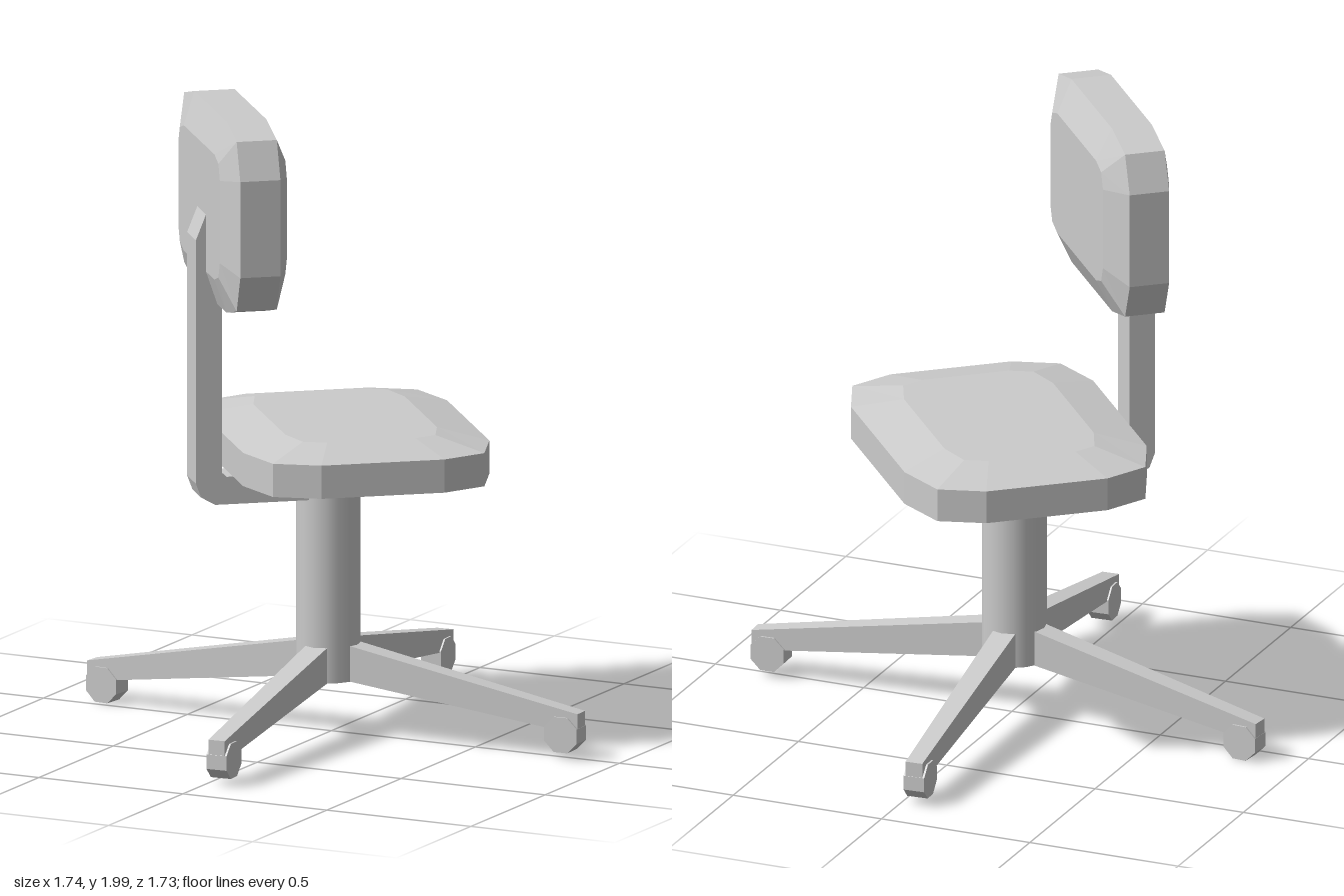
import * as THREE from 'three';

const grey = new THREE.MeshStandardMaterial({ color: 0xcccccc });
const flat = new THREE.MeshStandardMaterial({ color: 0xcccccc, flatShading: true });

function add(parent, name, geometry, material = flat) {
  const mesh = new THREE.Mesh(geometry, material);
  mesh.name = name;
  parent.add(mesh);
  return mesh;
}

// Mirrors the three points of one rounded corner into a 12-sided outline
function outline(corner) {
  const back = [...corner].reverse();
  return [
    ...corner,
    ...back.map(([x, y]) => [-x, y]),
    ...corner.map(([x, y]) => [-x, -y]),
    ...back.map(([x, y]) => [x, -y]),
  ];
}

// Closed cushion lofted along +z through rings of { corner, z }
function cushion(rings) {
  const n = 12, pos = [], idx = [];
  for (const { corner, z } of rings)
    for (const [x, y] of outline(corner)) pos.push(x, y, z);
  for (let r = 0; r < rings.length - 1; r++)
    for (let i = 0; i < n; i++) {
      const a = r * n + i, b = r * n + (i + 1) % n;
      idx.push(a, b, b + n, a, b + n, a + n);
    }
  const last = (rings.length - 1) * n;
  for (let i = 1; i < n - 1; i++) {
    idx.push(0, i + 1, i);
    idx.push(last, last + i, last + i + 1);
  }
  const g = new THREE.BufferGeometry();
  g.setAttribute('position', new THREE.Float32BufferAttribute(pos, 3));
  g.setIndex(idx);
  const out = g.toNonIndexed();
  out.computeVertexNormals();
  return out;
}

// Tapered leg running along +x, sloping down to its tip
function legGeometry(length, drop) {
  const g = new THREE.BoxGeometry(1, 1, 1);
  const p = g.attributes.position;
  for (let i = 0; i < p.count; i++) {
    const tip = p.getX(i) > 0, top = p.getY(i) > 0;
    const y = tip ? (top ? 0.155 : 0.09) - drop : (top ? 0.305 : 0.19);
    p.setXYZ(i, tip ? length : 0.05, y, p.getZ(i) * (tip ? 0.055 : 0.075));
  }
  g.computeVertexNormals();
  return g;
}

export function createModel() {
  const model = new THREE.Group();
  model.name = 'swivelChair';

  // Base: column, four legs and casters
  const base = new THREE.Group();
  base.name = 'base';
  base.position.z = 0.02;
  model.add(base);
  add(base, 'column', new THREE.CylinderGeometry(0.1, 0.1, 0.7, 16), grey).position.y = 0.535;

  const tips = [
    { x: 0.865, z: -0.025, drop: 0 },
    { x: -0.865, z: -0.085, drop: 0.02 },
    { x: 0.045, z: 0.84, drop: 0 },
    { x: -0.05, z: -0.885, drop: 0 },
  ];
  for (const { x, z, drop } of tips) {
    const arm = new THREE.Group();
    arm.name = 'legWithCaster';
    arm.rotation.y = Math.atan2(-z, x);
    base.add(arm);
    const length = Math.hypot(x, z);
    add(arm, 'leg', legGeometry(length, drop));
    const wheel = new THREE.CylinderGeometry(0.06, 0.06, 0.068, 8, 1, false, Math.PI / 8);
    wheel.rotateX(Math.PI / 2);
    add(arm, 'caster', wheel).position.set(length - 0.055, 0.085 - drop, 0);
  }

  // Upper part, swivelled on the column; its own front is local +z
  const upper = new THREE.Group();
  upper.name = 'upper';
  upper.rotation.y = Math.atan2(0.763, -0.647);
  model.add(upper);

  const seatEdge = [[0.52, 0.195], [0.46, 0.335], [0.29, 0.39]];
  const seatTop = [[0.36, 0.14], [0.33, 0.21], [0.22, 0.24]];
  const seat = add(upper, 'seat', cushion([
    { corner: seatEdge, z: 0.86 },
    { corner: seatEdge, z: 0.965 },
    { corner: seatTop, z: 1.0 },
  ]));
  seat.rotation.x = -Math.PI / 2;
  seat.position.set(0.018, 0, 0.0475);

  const backEdge = [[0.41, 0.152], [0.36, 0.268], [0.22, 0.3025]];
  const backFace = [[0.285, 0.13], [0.265, 0.18], [0.21, 0.198]];
  add(upper, 'backrest', cushion([
    { corner: backFace, z: -0.415 },
    { corner: backEdge, z: -0.379 },
    { corner: backEdge, z: -0.252 },
    { corner: backFace, z: -0.203 },
  ])).position.set(0.018, 1.6975, 0);

  // Bent bar from the column up to the backrest
  const bar = new THREE.Shape([
    [-0.03, 0.76], [-0.03, 0.847], [-0.35, 0.847], [-0.365, 0.86], [-0.365, 1.68],
    [-0.415, 1.68], [-0.447, 1.6], [-0.447, 0.83], [-0.43, 0.785], [-0.385, 0.76],
  ].map(([z, y]) => new THREE.Vector2(z, y)));
  const barGeometry = new THREE.ExtrudeGeometry(bar, { depth: 0.12, bevelEnabled: false });
  barGeometry.translate(0, 0, -0.06).rotateY(-Math.PI / 2);
  add(upper, 'backSupport', barGeometry).position.x = -0.017;

  return model;
}
